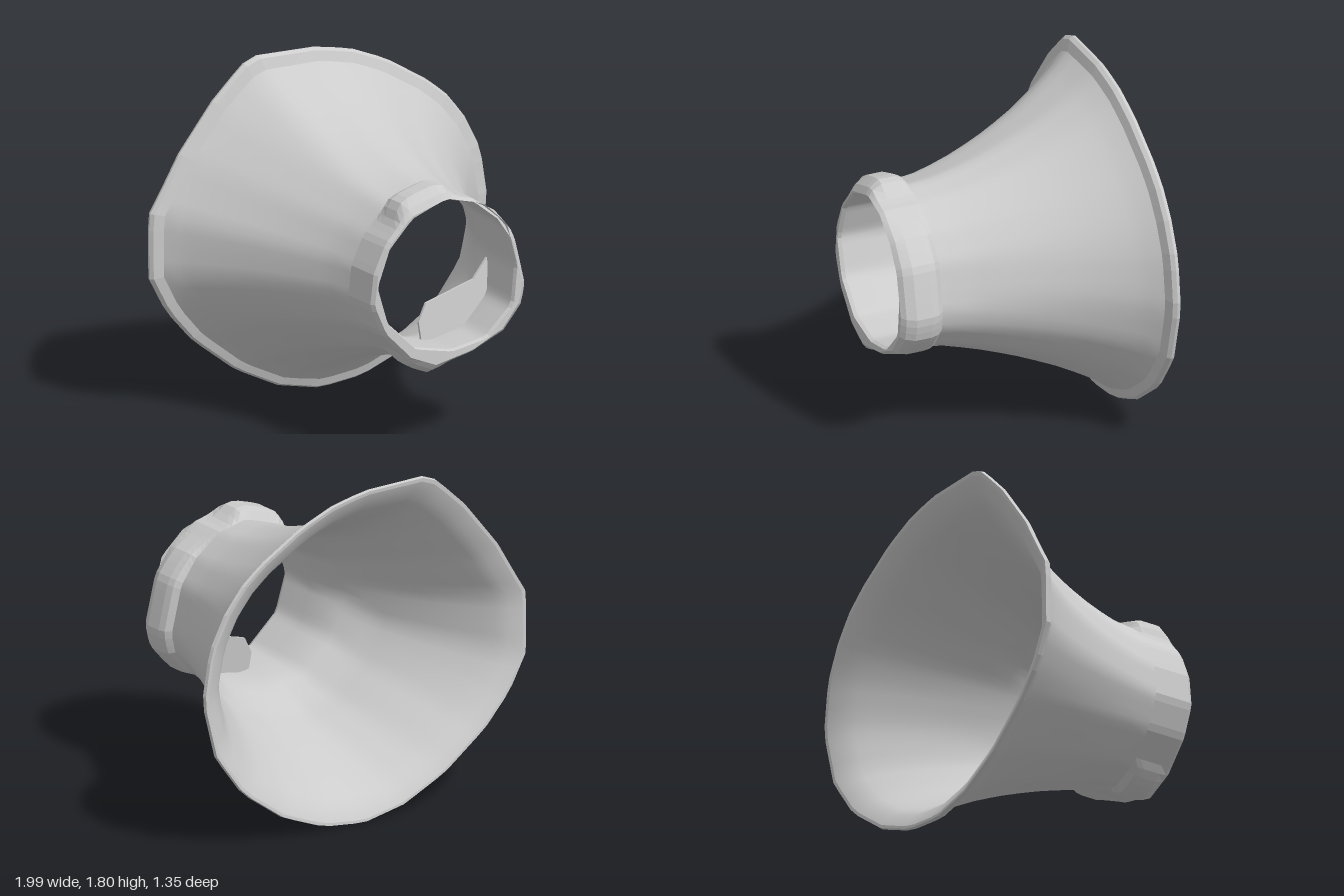
import * as THREE from 'three';

const CX = -0.02, CY = 0.89, SEG = 72;

// Outlines seen from the front, counter-clockwise from the model's left
const RIM = [[1, 0.85], [0.96, 1.12], [0.87, 1.3], [0.77, 1.43], [0.65, 1.53], [0.4, 1.68], [0.2, 1.76], [0, 1.8],
  [-0.36, 1.805], [-0.44, 1.77], [-0.62, 1.6], [-0.82, 1.35], [-0.92, 1.18], [-1, 1.05], [-1, 0.72], [-0.9, 0.53],
  [-0.75, 0.36], [-0.5, 0.17], [-0.25, 0.05], [0, 0], [0.25, 0.03], [0.5, 0.13], [0.75, 0.31], [0.92, 0.54]];
const NECK = [[0.42, 0.8], [0.36, 1.05], [0.27, 1.18], [0.13, 1.29], [-0.03, 1.33], [-0.25, 1.26], [-0.38, 1.12],
  [-0.45, 0.97], [-0.47, 0.8], [-0.4, 0.64], [-0.25, 0.49], [-0.1, 0.43], [0.12, 0.48], [0.3, 0.57], [0.4, 0.7]];
const BORE = [[0.37, 0.9], [0.31, 1.13], [0.18, 1.25], [-0.03, 1.31], [-0.23, 1.23], [-0.36, 1.09], [-0.43, 0.9],
  [-0.37, 0.7], [-0.21, 0.55], [0, 0.51], [0.2, 0.55], [0.35, 0.7]];

// Distance from the axis to an outline along angle a
function radius(outline, a) {
  const dx = Math.cos(a), dy = Math.sin(a);
  for (let i = 0; i < outline.length; i++) {
    const p = outline[i], q = outline[(i + 1) % outline.length];
    const px = p[0] - CX, py = p[1] - CY, ex = q[0] - p[0], ey = q[1] - p[1];
    const det = dx * ey - dy * ex;
    const r = (px * ey - py * ex) / det;
    const s = (px * dy - py * dx) / det;
    if (s >= -1e-6 && s <= 1 + 1e-6 && r > 0) return r;
  }
  return 0.45;
}

// Uneven swelling of the collar: lumps at top and bottom, fuller on one side
function collar(a) {
  const lump = (c, w) => {
    const d = Math.atan2(Math.sin(a - c), Math.cos(a - c)) / w;
    return Math.exp(-d * d * d * d);
  };
  return 0.035 * lump(0, 0.9) + 0.06 * lump(1.85, 0.36) + 0.04 * lump(4.45, 0.24);
}

// One closed cross-section: narrow outline, z, flare 0 (neck) to 1 (rim), radial offset.
// Both mouths are slightly skewed, the wide one also leans back at the top.
function section(outline, z, flare, offset = 0, bulge = 0) {
  const pts = [];
  for (let j = 0; j < SEG; j++) {
    const a = (j / SEG) * Math.PI * 2;
    const t = Math.pow(flare, 1 + 0.18 * Math.max(0, Math.sin(a)));
    const r = THREE.MathUtils.lerp(radius(outline, a), radius(RIM, a), t) + offset + bulge * collar(a);
    const x = CX + r * Math.cos(a), y = CY + r * Math.sin(a);
    pts.push(x, y, z + (0.045 - 0.02 * flare) * x - 0.013 * flare * (y - CY));
  }
  return pts;
}

function addMesh(group, name, geometry, flatShading) {
  geometry.computeVertexNormals();
  const mesh = new THREE.Mesh(geometry, new THREE.MeshStandardMaterial({ color: 0xcccccc, flatShading }));
  mesh.name = name;
  group.add(mesh);
}

// Skin over a run of cross-sections
function loft(sections) {
  const index = [];
  for (let i = 0; i < sections.length - 1; i++) {
    for (let j = 0; j < SEG; j++) {
      const a = i * SEG + j, b = i * SEG + (j + 1) % SEG;
      index.push(a, a + SEG, b, b, a + SEG, b + SEG);
    }
  }
  const g = new THREE.BufferGeometry();
  g.setAttribute('position', new THREE.Float32BufferAttribute(sections.flat(), 3));
  g.setIndex(index);
  return g;
}

export function createModel() {
  const group = new THREE.Group();
  group.name = 'flaredHorn';

  // z and flare along the bell, front to back
  const bell = [[0.42, 0], [0.3, 0.04], [0.2, 0.1], [0.1, 0.165], [0, 0.24], [-0.1, 0.32], [-0.2, 0.41],
    [-0.3, 0.505], [-0.4, 0.615], [-0.48, 0.71], [-0.54, 0.79], [-0.595, 0.88]];

  // Lumpy collar around the narrow mouth, with its front edge
  addMesh(group, 'collar', loft([
    section(BORE, 0.63, 0), section(BORE, 0.65, 0, 0.008), section(NECK, 0.652, 0, -0.015),
    section(NECK, 0.63, 0, 0, 0.35), section(NECK, 0.58, 0, 0, 1), section(NECK, 0.49, 0, 0, 1),
    section(NECK, 0.45, 0, 0, 0.75), section(NECK, 0.42, 0),
  ]), true);

  // Flared outer wall
  addMesh(group, 'bellOuterWall', loft(bell.map(([z, f]) => section(NECK, z, f))), false);

  // Thin lip of the wide mouth
  addMesh(group, 'rimLip', loft([
    section(NECK, -0.595, 0.88), section(NECK, -0.612, 0.975), section(NECK, -0.632, 1),
    section(NECK, -0.65, 0.992), section(NECK, -0.648, 0.96),
  ]), true);

  // Inner wall, back to front, narrowing to the bore inside the neck
  const inner = bell.slice().reverse().map(([z, f]) => (
    z > 0.15 ? section(BORE, z, f, -0.1 * f) : section(NECK, z - 0.02, f, -0.025)));
  addMesh(group, 'bellInnerWall', loft([
    section(NECK, -0.648, 0.96), ...inner, section(BORE, 0.63, 0),
  ]), false);

  // Torn flap standing across the lower part of the neck
  const shape = new THREE.Shape([[-0.05, 0.5], [-0.06, 0.61], [-0.01, 0.7], [0.28, 0.78], [0.37, 0.88],
    [0.37, 0.72], [0.28, 0.6], [0.12, 0.51]].map(([x, y]) => new THREE.Vector2(x, y)));
  const flap = new THREE.ExtrudeGeometry(shape, { depth: 0.015, bevelEnabled: false });
  const pos = flap.attributes.position;
  for (let i = 0; i < pos.count; i++) {
    pos.setZ(i, pos.getZ(i) + 0.42 - 0.12 * (pos.getY(i) - 0.5));
  }
  addMesh(group, 'innerFlap', flap, true);

  return group;
}
